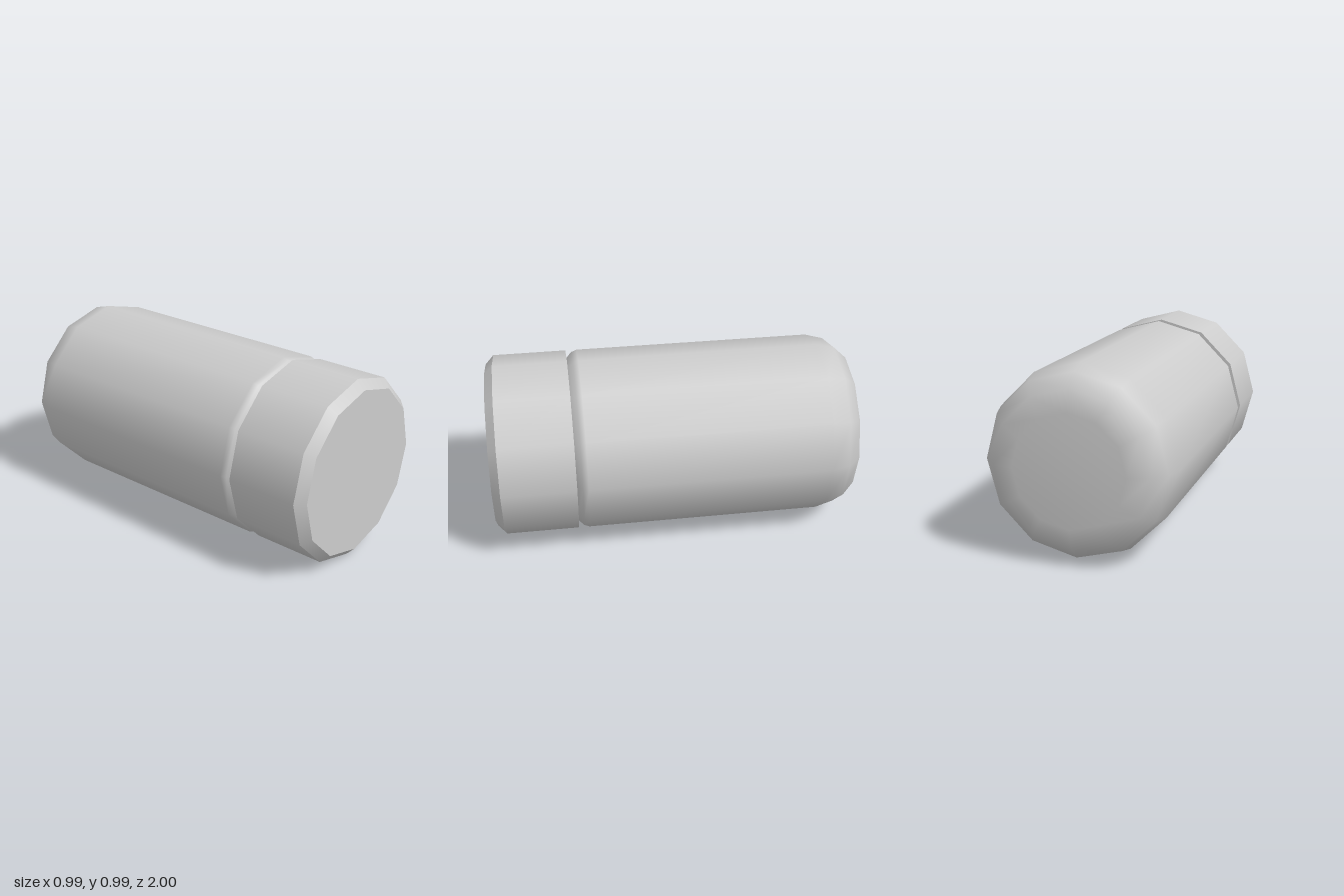
import * as THREE from 'three';

const SIDES = 12;
const RADIUS = 0.495;

// Revolves [radius, z] points, listed back to front, around the z axis
function revolve(name, profile, material) {
  const points = profile.map(([r, z]) => new THREE.Vector2(r, z));
  const geometry = new THREE.LatheGeometry(points, SIDES);
  geometry.rotateX(Math.PI / 2);
  const mesh = new THREE.Mesh(geometry, material);
  mesh.name = name;
  return mesh;
}

export function createModel() {
  const grey = new THREE.MeshStandardMaterial({ color: 0xcccccc });
  grey.name = 'light grey';

  const model = new THREE.Group();
  model.name = 'capsule';
  model.position.y = RADIUS;

  // Smooth body with a rounded back and a softened front shoulder
  model.add(revolve('body', [
    [0, -1], [0.29, -1], [0.4, -0.97], [0.468, -0.9], [RADIUS, -0.8],
    [RADIUS, 0.5], [0.483, 0.53], [0.45, 0.56],
  ], grey));

  // Cap, with one strip per surface to keep its edges sharp
  const cap = new THREE.Group();
  cap.name = 'cap';
  const rim = [[0, 0.56], [RADIUS, 0.56], [RADIUS, 0.955], [0.447, 1], [0, 1]];
  ['capBack', 'capWall', 'capBevel', 'capFront'].forEach((name, i) => {
    cap.add(revolve(name, [rim[i], rim[i + 1]], grey));
  });
  model.add(cap);

  const root = new THREE.Group();
  root.add(model);
  return root;
}
